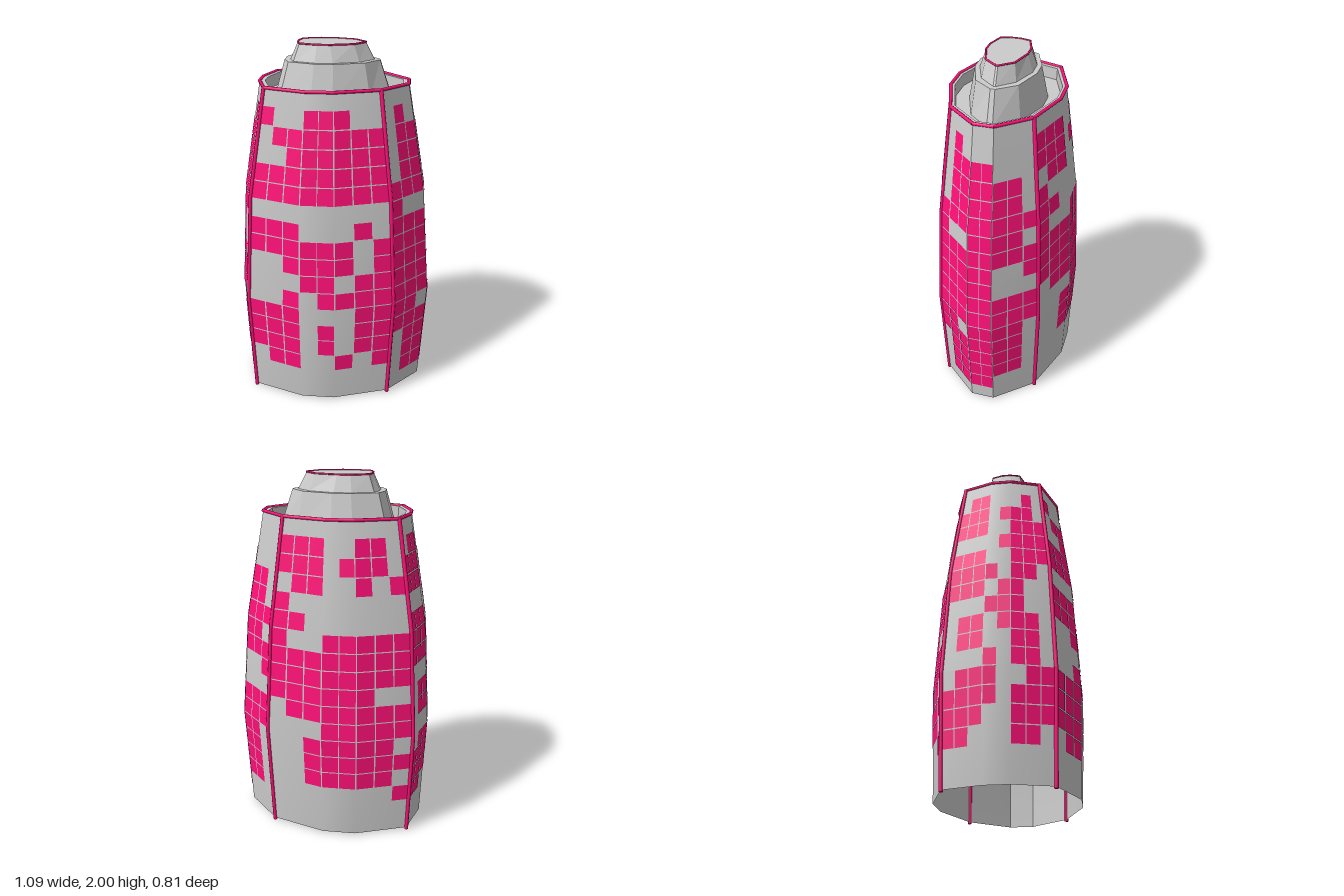
import * as THREE from 'three';
import { mergeGeometries, toCreasedNormals } from 'three/addons/utils/BufferGeometryUtils.js';

const grey = new THREE.MeshStandardMaterial({ color: 0xcccccc, side: THREE.DoubleSide });
const pink = new THREE.MeshStandardMaterial({ color: 0xff1078, side: THREE.DoubleSide });

// Twelve-sided plan from its front half; runs front, right (+x), back, left.
function plan(half) {
  return [...half, ...half.slice().reverse().map(([x, z]) => [x, -z])];
}
const BODY = plan([[-0.54, 0.07], [-0.47, 0.29], [-0.165, 0.4], [0.03, 0.4], [0.35, 0.29], [0.54, 0.07]]);
const CORNERS = [1, 4, 7, 10];

// Height, scale and x shift of the tower body
const LEVELS = [[0.01, 0.945, -0.005], [0.6, 1, 0], [1.2, 0.925, -0.005], [1.79, 0.74, -0.008]];

const ring = (outline, y, s = 1, dx = 0) => outline.map(([x, z]) => new THREE.Vector3(x * s + dx, y, z * s));

// Body cross-section at any height
function bodyRing(y) {
  let i = 0;
  while (i < LEVELS.length - 2 && y > LEVELS[i + 1][0]) i++;
  const [a, b] = [LEVELS[i], LEVELS[i + 1]];
  const t = (y - a[0]) / (b[0] - a[0]);
  return ring(BODY, y, THREE.MathUtils.lerp(a[1], b[1], t), THREE.MathUtils.lerp(a[2], b[2], t));
}

function quad(out, a, b, c, d) {
  for (const p of [a, b, c, a, c, d]) out.push(p.x, p.y, p.z);
}

function fromPositions(pos) {
  const g = new THREE.BufferGeometry();
  g.setAttribute('position', new THREE.Float32BufferAttribute(pos, 3));
  g.computeVertexNormals();
  return g;
}

// Skin a stack of rings
function loft(rings) {
  const pos = [];
  for (let k = 0; k < rings.length - 1; k++) {
    const lo = rings[k], hi = rings[k + 1], n = lo.length;
    for (let i = 0; i < n; i++) {
      const j = (i + 1) % n;
      quad(pos, lo[i], lo[j], hi[j], hi[i]);
    }
  }
  return fromPositions(pos);
}

// Straight round bars joining a list of points
function bars(points, radius, closed) {
  const parts = [];
  const n = points.length;
  for (let i = 0; i < (closed ? n : n - 1); i++) {
    const a = points[i], b = points[(i + 1) % n];
    const dir = b.clone().sub(a);
    const g = new THREE.CylinderGeometry(radius, radius, dir.length() + radius * 0.5, 8);
    g.applyQuaternion(new THREE.Quaternion().setFromUnitVectors(new THREE.Vector3(0, 1, 0), dir.normalize()));
    const m = a.clone().add(b).multiplyScalar(0.5);
    parts.push(g.translate(m.x, m.y, m.z));
  }
  return mergeGeometries(parts);
}

// Window patterns: rows from y = 0.1 upward, columns left to right seen from outside
const WINDOWS = {
  front: ['00000000', '01100101', '11101011', '11101011', '11100011', '00101111', '00011011', '00111101',
    '11111101', '11100010', '00000000', '11111111', '11111111', '00111111', '01111111', '10011100'],
  right: ['01111000', '01111110', '01111110', '11111110', '11011110', '11111111', '11111111', '11111000',
    '11111001', '11111111', '10011110', '11111111', '01111110', '01111110', '01111000', '01000000'],
  back: ['00000000', '00000001', '00111110', '00111111', '00111110', '00011111', '01111111', '11111100',
    '11111111', '11111111', '10011111', '11000000', '10000000', '01100101', '11101110', '11100110'],
  left: ['00000000', '11000110', '11100111', '11110111', '01110011', '00010110', '01100110', '01101110',
    '00011100', '11101100', '11110110', '11100111', '00001111', '11100111', '11101110', '01100010'],
};
const SIDES = [['front', 1], ['right', 4], ['back', 7], ['left', 10]];

// Each side has three facets carrying 3, 2 and 3 columns of panes
function windowPanes(rows, first) {
  const pos = [];
  const cells = [[0, 0, 3], [0, 1, 3], [0, 2, 3], [1, 0, 2], [1, 1, 2], [2, 0, 3], [2, 1, 3], [2, 2, 3]];
  rows.forEach((row, r) => {
    const lo = bodyRing(0.1 * (r + 1) + 0.003), hi = bodyRing(0.1 * (r + 2) - 0.003);
    cells.forEach(([facet, c, count], k) => {
      if (row[k] !== '1') return;
      const i = (first + facet) % 12, j = (i + 1) % 12;
      const out = new THREE.Vector3(lo[i].z - lo[j].z, 0, lo[j].x - lo[i].x).normalize().multiplyScalar(-0.003);
      const edge = lo[j].clone().sub(lo[i]);
      out.set(-edge.z, 0, edge.x).normalize().multiplyScalar(0.003);
      const at = (rg, t) => rg[i].clone().lerp(rg[j], t).add(out);
      const t0 = c / count + 0.012, t1 = (c + 1) / count - 0.012;
      quad(pos, at(lo, t0), at(lo, t1), at(hi, t1), at(hi, t0));
    });
  });
  return fromPositions(pos);
}

export function createModel() {
  const model = new THREE.Group();
  const add = (name, geometry, material) => {
    const mesh = new THREE.Mesh(geometry, material);
    mesh.name = name;
    model.add(mesh);
  };
  const levelRings = LEVELS.map(([y, s, dx]) => ring(BODY, y, s, dx));

  // Open-bottomed tower wall
  add('towerWall', toCreasedNormals(loft(levelRings), 0.45), grey);

  // Parapet top, its inner face and the sunken roof deck
  add('parapetAndDeck', loft([
    levelRings[3], ring(BODY, 1.79, 0.685, -0.008), ring(BODY, 1.725, 0.68, -0.008), ring(BODY, 1.725, 0, -0.008),
  ]), grey);

  // Stepped crown with a pointed end
  const crownTop = ring(plan([[-0.2, 0.025], [-0.185, 0.08], [-0.09, 0.11], [-0.02, 0.11], [0.1, 0.075], [0.158, 0.005]]), 1.995);
  add('crown', loft([
    ring(plan([[-0.32, 0.055], [-0.285, 0.14], [-0.115, 0.2], [0, 0.2], [0.19, 0.13], [0.295, 0.015]]), 1.725),
    ring(plan([[-0.27, 0.045], [-0.24, 0.115], [-0.1, 0.165], [0, 0.165], [0.16, 0.11], [0.235, 0.012]]), 1.905),
    ring(plan([[-0.24, 0.035], [-0.215, 0.1], [-0.1, 0.14], [-0.005, 0.14], [0.13, 0.09], [0.205, 0.006]]), 1.905),
    crownTop,
    ring(BODY, 1.995, 0, -0.03),
  ]), grey);

  // Glowing trim: rims and corner ribs
  add('parapetRim', bars(levelRings[3], 0.009, true), pink);
  add('crownRim', bars(crownTop, 0.005, true), pink);
  for (const c of CORNERS) {
    const path = levelRings.map((rg) => rg[c].clone());
    path[0].y = 0.004;
    add('cornerRib', bars(path, 0.011, false), pink);
  }

  // Lit windows
  for (const [side, first] of SIDES) add(side + 'Windows', windowPanes(WINDOWS[side], first), pink);

  return model;
}
